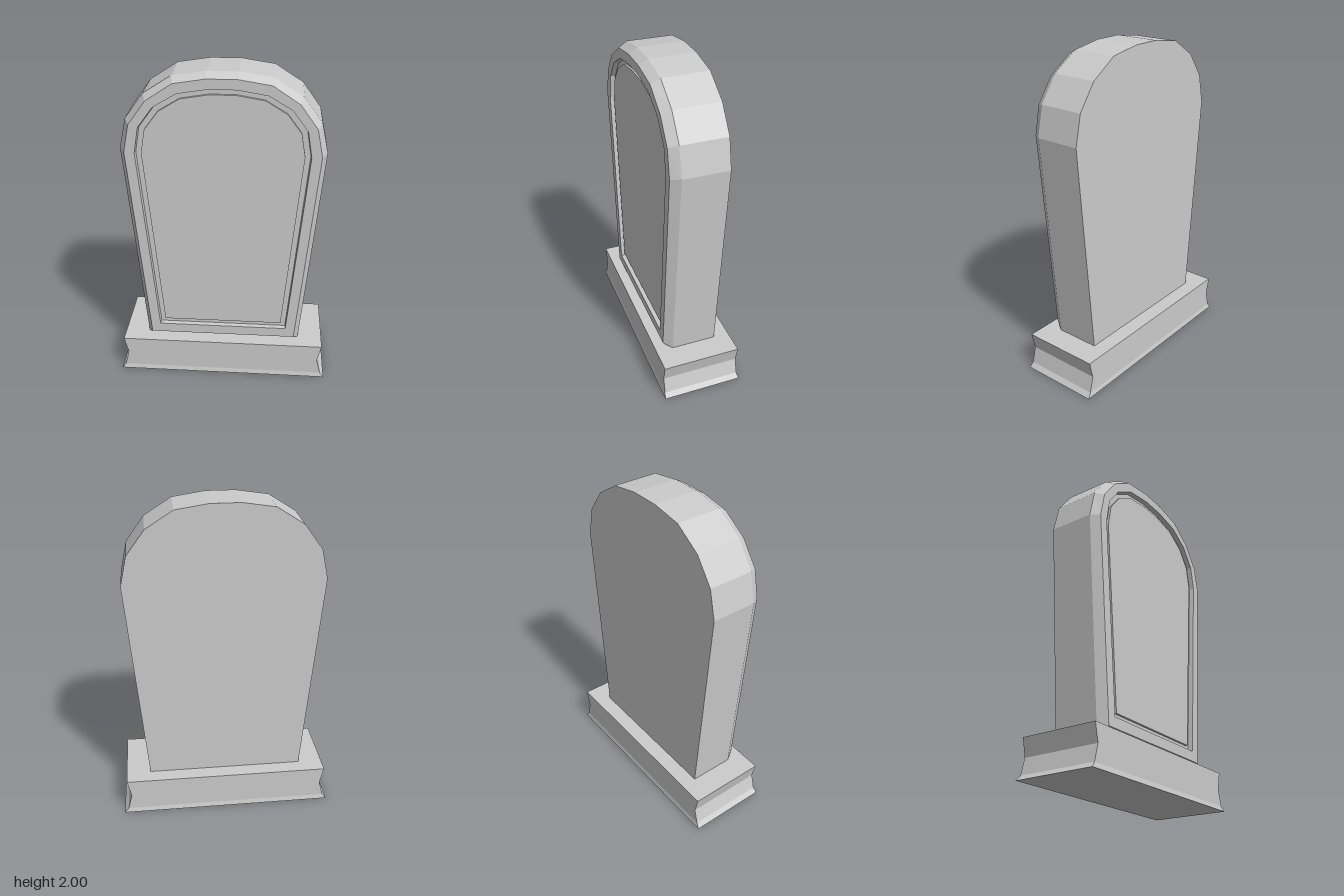
import * as THREE from 'three';

const material = new THREE.MeshStandardMaterial({ color: 0xcccccc, flatShading: true });

// Skins a stack of equal-length rings (counter-clockwise seen from the last ring) and caps both ends
function loft(name, rings) {
  const pos = [];
  const tri = (a, b, c) => pos.push(...a, ...b, ...c);
  const n = rings[0].length;
  for (let r = 0; r < rings.length - 1; r++) {
    const a = rings[r], b = rings[r + 1];
    for (let i = 0; i < n; i++) {
      const j = (i + 1) % n;
      tri(a[i], a[j], b[j]);
      tri(a[i], b[j], b[i]);
    }
  }
  const first = rings[0], last = rings[rings.length - 1];
  for (let i = 1; i < n - 1; i++) {
    tri(first[0], first[i + 1], first[i]);
    tri(last[0], last[i], last[i + 1]);
  }
  const geometry = new THREE.BufferGeometry();
  geometry.setAttribute('position', new THREE.Float32BufferAttribute(pos, 3));
  geometry.computeVertexNormals();
  const mesh = new THREE.Mesh(geometry, material);
  mesh.name = name;
  return mesh;
}

// Mirrors a right-hand half outline (bottom to top) into a closed ring at depth z
function archRing(half, z) {
  const mirrored = half.map(([x, y]) => [-x, y]).reverse();
  return [...half, ...mirrored].map(([x, y]) => [x, y, z]);
}

// Rectangular ring at height y
function baseRing([hx, y, hz]) {
  return [[-hx, y, hz], [hx, y, hz], [hx, y, -hz], [-hx, y, -hz]];
}

export function createModel() {
  const group = new THREE.Group();
  group.name = 'gravestone';

  // Plinth with waisted ends and a slightly flared foot
  group.add(loft('plinth', [
    [0.667, 0, 0.25],
    [0.643, 0.03, 0.243],
    [0.618, 0.13, 0.243],
    [0.643, 0.237, 0.243],
  ].map(baseRing)));

  // Nested arch outlines of the slab, outside to inside
  const edge = [[0.49, 0.235], [0.6, 1.535], [0.56, 1.715], [0.45, 1.865], [0.285, 1.97], [0.09, 2]];
  const face = [[0.46, 0.27], [0.567, 1.53], [0.533, 1.697], [0.43, 1.838], [0.275, 1.94], [0.088, 1.97]];
  const lip = [[0.405, 0.333], [0.507, 1.525], [0.48, 1.68], [0.39, 1.802], [0.255, 1.882], [0.082, 1.911]];
  const floor = [[0.402, 0.336], [0.503, 1.525], [0.476, 1.678], [0.387, 1.798], [0.253, 1.878], [0.081, 1.907]];
  const panel = [[0.373, 0.365], [0.471, 1.522], [0.446, 1.663], [0.363, 1.774], [0.238, 1.85], [0.076, 1.877]];

  // Slab with chamfered front, sunken border groove and raised centre panel
  group.add(loft('slab', [
    archRing(edge, -0.145),
    archRing(edge, 0.135),
    archRing(face, 0.19),
    archRing(lip, 0.19),
    archRing(floor, 0.16),
    archRing(panel, 0.16),
    archRing(panel, 0.175),
  ]));

  return group;
}
